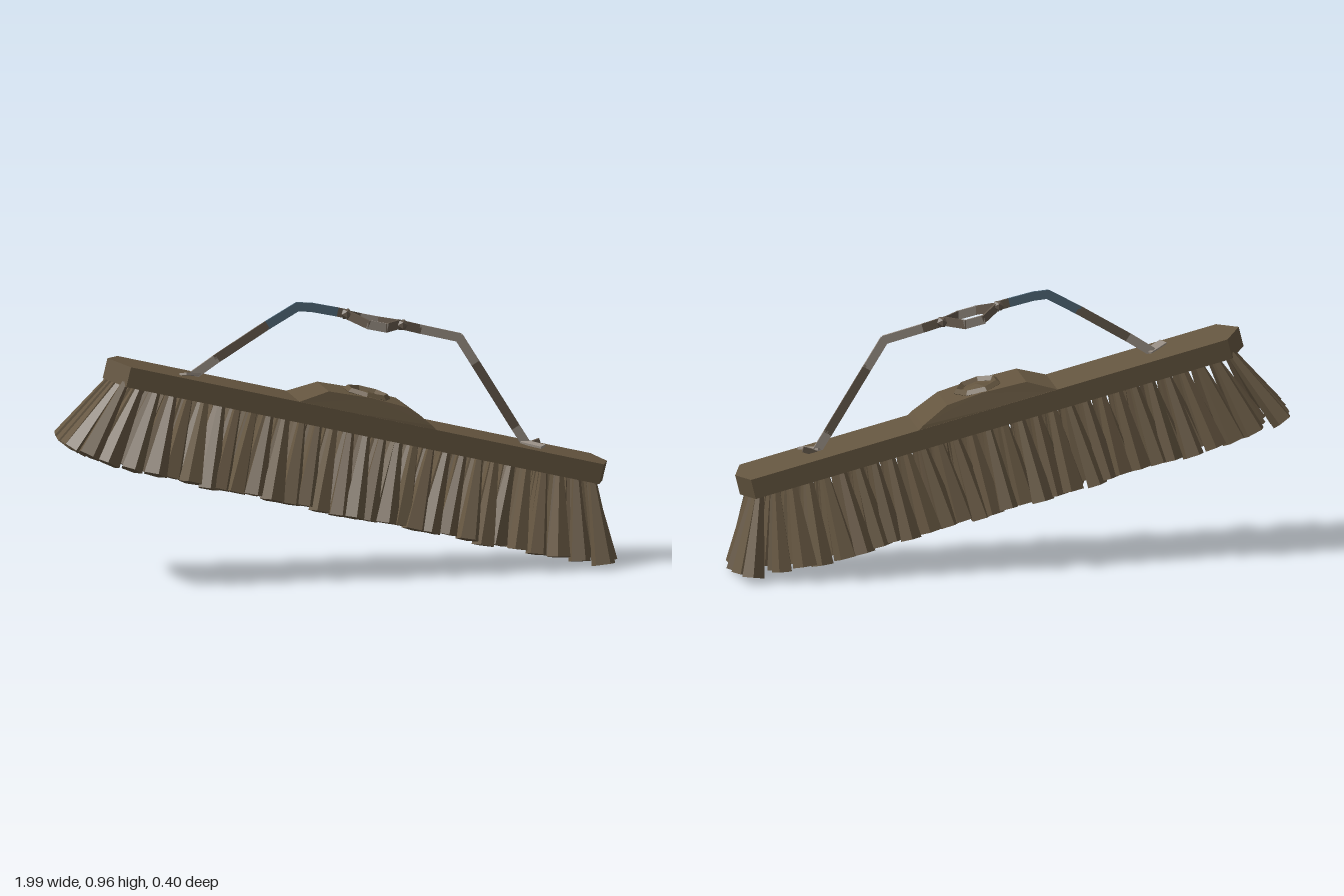
import * as THREE from 'three';
import { mergeGeometries } from 'three/addons/utils/BufferGeometryUtils.js';

const V = (x, y, z = 0) => new THREE.Vector3(x, y, z);
const flat = (name, color) => {
  const m = new THREE.MeshStandardMaterial({ color, flatShading: true });
  m.name = name;
  return m;
};
const wood = flat('brown wood', 0x64553f);
const bristle = flat('brown bristle', 0x665742);
const pale = flat('pale worn metal', 0x9c9288);
const dull = flat('dull brown metal', 0x65594c);
const blue = flat('blue grip', 0x506878);

let seed = 7;
const rand = () => {
  seed = (seed * 16807) % 2147483647;
  return seed / 2147483647 - 0.5;
};

function add(parent, name, geometry, material) {
  const mesh = new THREE.Mesh(geometry, material);
  mesh.name = name;
  parent.add(mesh);
  return mesh;
}

// Flat bar between two points; its broad side lies along "up"
function bar(a, b, width, thick, up = V(0, 1, 0)) {
  const x = b.clone().sub(a), length = x.length();
  x.normalize();
  const z = x.clone().cross(up).normalize();
  const y = z.clone().cross(x);
  const matrix = new THREE.Matrix4().makeBasis(x, y, z);
  matrix.setPosition(a.clone().add(b).multiplyScalar(0.5));
  return new THREE.BoxGeometry(length + 0.008, width, thick).applyMatrix4(matrix);
}

// One tuft: a narrow-topped prism from its root to its splayed tip
function tuft(top, bottom, radius) {
  const dir = top.clone().sub(bottom), length = dir.length();
  const g = new THREE.CylinderGeometry(0.014, radius, length, 5);
  g.rotateY(rand() * 6.28);
  g.applyQuaternion(new THREE.Quaternion().setFromUnitVectors(V(0, 1, 0), dir.normalize()));
  const mid = top.clone().add(bottom).multiplyScalar(0.5);
  return g.translate(mid.x, mid.y, mid.z);
}

function buildHead() {
  const head = new THREE.Group();
  head.name = 'broomHead';

  // Block with pointed ends
  const plan = new THREE.Shape([[-0.922, 0], [-0.86, -0.105], [0.885, -0.105], [0.922, 0],
    [0.885, 0.105], [-0.86, 0.105]].map(([x, y]) => new THREE.Vector2(x, y)));
  const block = new THREE.ExtrudeGeometry(plan, { depth: 0.072, bevelEnabled: false });
  block.rotateX(-Math.PI / 2).translate(0, -0.072, 0);
  add(head, 'headBlock', block, wood);

  // Raised middle, narrowing slightly to the top
  const side = new THREE.Shape([[-0.255, -0.01], [0.285, -0.01], [0.25, 0.012], [0.15, 0.055],
    [0.02, 0.062], [-0.14, 0.055]].map(([x, y]) => new THREE.Vector2(x, y)));
  const hump = new THREE.ExtrudeGeometry(side, { depth: 0.21, bevelEnabled: false });
  hump.translate(0, 0, -0.105);
  const p = hump.attributes.position;
  for (let i = 0; i < p.count; i++) {
    p.setZ(i, p.getZ(i) * (1 - Math.max(0, p.getY(i)) * 2.4));
  }
  hump.computeVertexNormals();
  add(head, 'headHump', hump, wood);

  // Socket rim on the hump
  const rim = new THREE.TorusGeometry(0.073, 0.014, 4, 7).rotateX(-Math.PI / 2);
  add(head, 'socketRim', rim, wood).position.set(0.02, 0.061, 0);
  const cap = new THREE.ConeGeometry(0.05, 0.012, 5);
  add(head, 'socketCap', cap, wood).position.set(0.02, 0.066, 0);

  // Rows of tufts, splayed at the sides and ends
  const tufts = [], columns = 30, rows = 5;
  for (let i = 0; i < columns; i++) {
    const s = (i / (columns - 1)) * 2 - 1;
    for (let j = 0; j < rows; j++) {
      const t = (j / (rows - 1)) * 2 - 1;
      const u = s * 0.862;
      const splay = Math.sign(s) * Math.abs(s) ** 5 * 0.125 * (1 - 0.25 * t * t);
      const top = V(u, -0.06, t * 0.083);
      const bottom = V(u + splay + rand() * 0.03,
        -0.355 + 0.02 * Math.abs(s) ** 8 + rand() * 0.012,
        t * 0.148 + rand() * 0.03);
      tufts.push(tuft(top, bottom, 0.042 + rand() * 0.008));
    }
  }
  add(head, 'bristles', mergeGeometries(tufts), bristle);

  head.position.set(0.075, 0.592, 0);
  head.rotation.z = -0.2437;
  return head;
}

function buildHandle() {
  const handle = new THREE.Group();
  handle.name = 'strapHandle';

  // Strap pieces from the left-hand foot to the right-hand foot
  const pieces = [
    [-0.51, 0.742, -0.43, 0.795, pale], [-0.43, 0.795, -0.25, 0.905, dull],
    [-0.25, 0.905, -0.14, 0.967, blue], [-0.14, 0.967, -0.09, 0.963, blue],
    [-0.09, 0.963, 0.0, 0.943, blue], [0.0, 0.943, 0.04, 0.933, dull],
    [0.22, 0.89, 0.3, 0.868, dull], [0.3, 0.868, 0.44, 0.832, pale],
    [0.44, 0.832, 0.5, 0.735, pale], [0.5, 0.735, 0.64, 0.507, dull],
    [0.64, 0.507, 0.685, 0.435, pale],
  ];
  for (const [x1, y1, x2, y2, mat] of pieces) {
    add(handle, 'strap', bar(V(x1, y1), V(x2, y2), 0.032, 0.007), mat);
  }

  // Open six-sided link in the middle of the strap
  for (const s of [-1, 1]) {
    const path = [V(0.04, 0.93), V(0.1, 0.905, 0.064 * s), V(0.165, 0.89, 0.064 * s), V(0.225, 0.888)];
    for (let i = 0; i < 3; i++) {
      add(handle, 'link', bar(path[i], path[i + 1], 0.032, 0.006), i === 1 ? pale : dull);
    }
  }
  for (const [x, y] of [[0.035, 0.934], [0.235, 0.886]]) {
    const knot = add(handle, 'knot', new THREE.IcosahedronGeometry(0.021), dull);
    knot.position.set(x, y, 0);
  }

  // Feet lying on the head
  const feet = [[V(-0.5, 0.742), V(-0.56, 0.757, 0.055)], [V(0.67, 0.45), V(0.725, 0.442, 0.055)]];
  for (const [a, b] of feet) {
    add(handle, 'foot', bar(a, b, 0.03, 0.008, V(1, 0, 0)), pale);
  }
  add(handle, 'footHook', bar(V(0.685, 0.437), V(0.725, 0.45), 0.02, 0.012), dull);
  return handle;
}

export function createModel() {
  const model = new THREE.Group();
  model.name = 'broom';
  model.add(buildHead(), buildHandle());
  return model;
}
